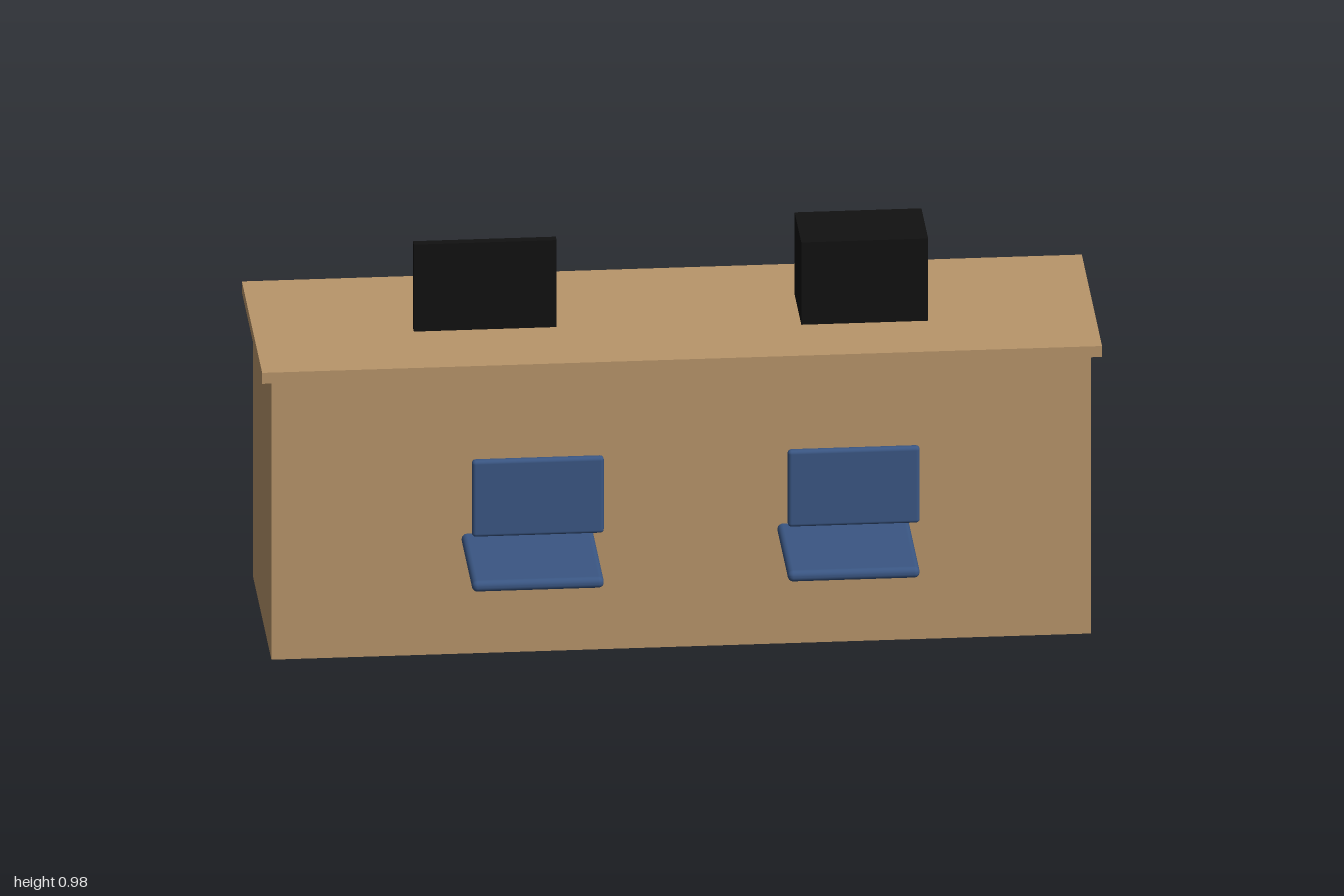
import * as THREE from 'three';
import { RoundedBoxGeometry } from 'three/addons/geometries/RoundedBoxGeometry.js';

const material = (name, color) => {
  const m = new THREE.MeshStandardMaterial({ color });
  m.name = name;
  return m;
};

export function createModel() {
  const wood = material('light wood', 0xb8956a);
  const darkWood = material('dark wood', 0x67442d);
  const fabric = material('blue fabric', 0x3a5683);
  const black = material('black plastic', 0x111111);

  const model = new THREE.Group();
  model.name = 'receptionDesk';

  // Box given by its extents along each axis; a radius rounds its edges
  const box = (name, mat, [x0, x1], [y0, y1], [z0, z1], radius = 0, parent = model) => {
    const size = [x1 - x0, y1 - y0, z1 - z0];
    const geometry = radius
      ? new RoundedBoxGeometry(...size, 3, radius)
      : new THREE.BoxGeometry(...size);
    const mesh = new THREE.Mesh(geometry, mat);
    mesh.position.set((x0 + x1) / 2, (y0 + y1) / 2, (z0 + z1) / 2);
    mesh.name = name;
    parent.add(mesh);
    return mesh;
  };

  // Counter
  box('counterBody', wood, [-0.976, 0.976], [0, 0.718], [-0.463, 0.065]);
  box('counterTop', wood, [-1, 1], [0.718, 0.746], [-0.485, 0.088]);

  // Four inset-look panels along the back
  for (let i = 0; i < 4; i++) {
    const x = (i - 1.5) * 0.488;
    box('backPanel', darkWood, [x - 0.21, x + 0.21], [0.077, 0.641], [-0.472, -0.462]);
  }

  // Equipment on the counter; the screen hovers just above the top
  box('screen', black, [-0.622, -0.282], [0.757, 0.98], [-0.134, -0.112]);
  box('printer', black, [0.3, 0.602], [0.746, 0.957], [-0.293, -0.104]);

  // Two chairs, each a floating seat and backrest
  for (const side of [-1, 1]) {
    const chair = new THREE.Group();
    chair.name = side < 0 ? 'rightChair' : 'leftChair';
    chair.position.x = side * 0.376;
    box('seat', fabric, [-0.157, 0.157], [0.327, 0.355], [0.17, 0.485], 0.013, chair);
    box('backrest', fabric, [-0.157, 0.157], [0.468, 0.664], [0.461, 0.482], 0.009, chair);
    model.add(chair);
  }

  return model;
}
